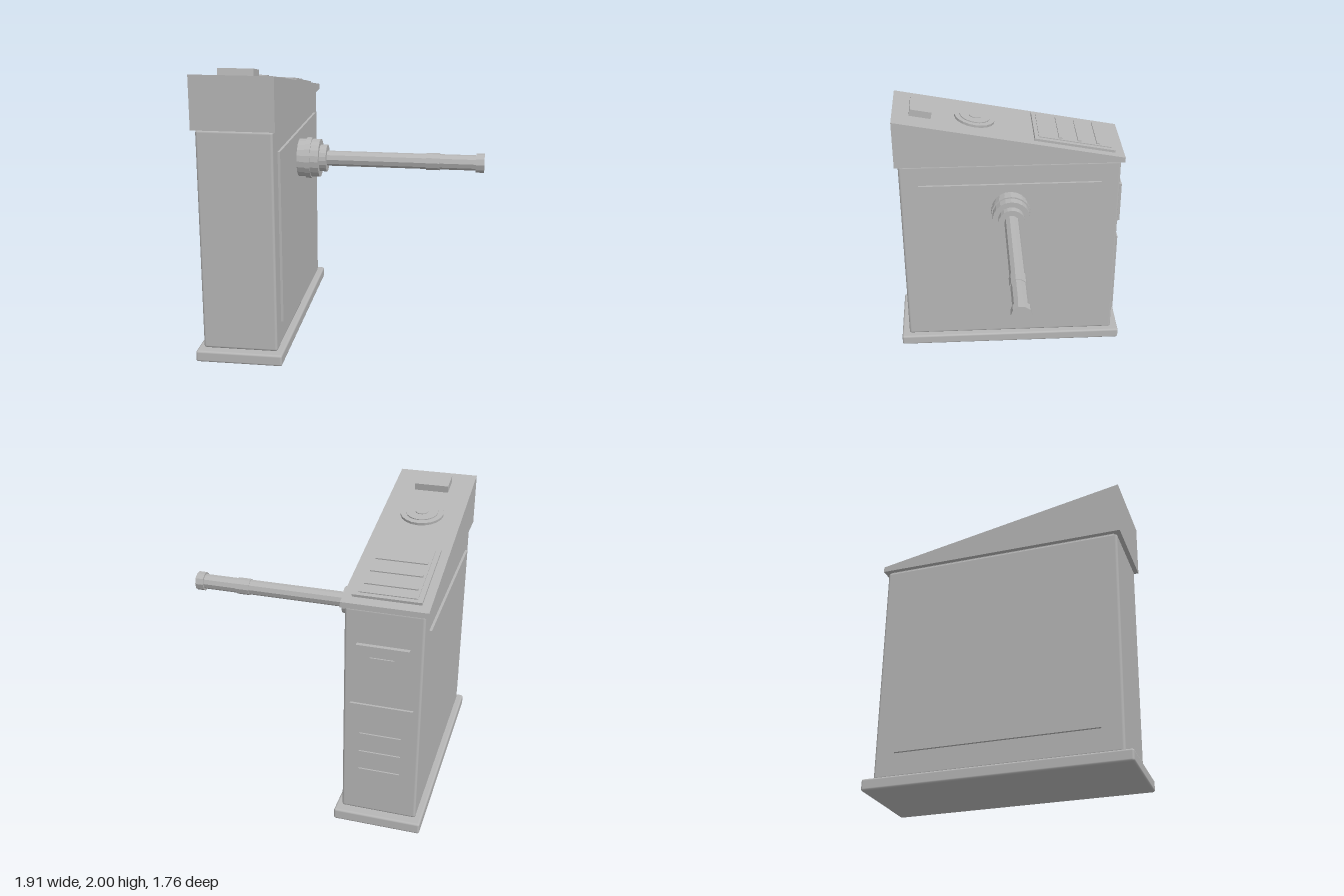
import * as THREE from 'three';
import { RoundedBoxGeometry } from 'three/addons/geometries/RoundedBoxGeometry.js';

export function createModel() {
  const model = new THREE.Group();
  model.name = 'turnstile';
  const steel = new THREE.MeshStandardMaterial({ color: 0xb6b6b6 });
  steel.name = 'steel grey';
  const CX = -0.655; // centre line of the cabinet

  function add(parent, name, geometry, x, y, z) {
    const mesh = new THREE.Mesh(geometry, steel);
    mesh.name = name;
    mesh.position.set(x, y, z);
    parent.add(mesh);
    return mesh;
  }
  const box = (w, h, d) => new THREE.BoxGeometry(w, h, d);
  // Cylinder with faceted sides
  function faceted(radius, height, sides) {
    const g = new THREE.CylinderGeometry(radius, radius, height, sides).toNonIndexed();
    g.computeVertexNormals();
    return g;
  }

  // Plinth and cabinet with softened edges
  add(model, 'base', new RoundedBoxGeometry(0.6, 0.08, 1.76, 2, 0.015), CX, 0.04, 0);
  add(model, 'cabinet', new RoundedBoxGeometry(0.515, 1.53, 1.64, 2, 0.018), CX, 0.845, 0);

  // Raised panel on each long side
  for (const side of [-1, 1]) {
    add(model, 'sidePanel', box(0.03, 1.205, 1.36), CX + side * 0.26, 0.8475, 0);
  }

  // Hood with a top that slopes down to the back
  const bottom = 1.613, high = 1.975, low = 1.65, half = 0.845;
  const profile = new THREE.Shape([
    new THREE.Vector2(-half, bottom), new THREE.Vector2(half, bottom),
    new THREE.Vector2(half, low), new THREE.Vector2(-half, high),
  ]);
  const hood = new THREE.ExtrudeGeometry(profile, { depth: 0.56, bevelEnabled: false });
  hood.translate(0, 0, -0.28).rotateY(Math.PI / 2);
  add(model, 'hood', hood, CX, 0, 0);
  add(model, 'hoodSeat', box(0.5, 0.02, 1.6), CX, 1.61, 0);

  // Fittings lying on the sloped top
  const slope = new THREE.Group();
  slope.name = 'topFittings';
  slope.position.set(CX, (high + low) / 2, 0);
  const angle = Math.atan((high - low) / (2 * half));
  slope.rotation.x = -angle;
  model.add(slope);
  const along = (z) => z / Math.cos(angle);
  // Each fitting is sunk slightly below the surface
  function plate(name, w, h, d, z) {
    add(slope, name, box(w, h + 0.01, d), 0, (h - 0.01) / 2, along(z));
  }
  plate('cardReader', 0.24, 0.05, 0.16, 0.645);
  for (const [r, h] of [[0.15, 0.018], [0.112, 0.025], [0.045, 0.03]]) {
    add(slope, 'roundSensor', faceted(r, h + 0.01, 20), 0, (h - 0.01) / 2, along(0.25));
  }
  plate('screenFrame', 0.445, 0.018, 0.605, -0.478);
  plate('screen', 0.38, 0.024, 0.545, -0.478);
  for (const z of [-0.37, -0.51, -0.65]) plate('screenBar', 0.345, 0.032, 0.025, z);

  // Plates on the back: a lock plate above a slatted vent
  add(model, 'lockPlate', box(0.345, 0.32, 0.04), CX, 1.21, -0.83);
  add(model, 'lock', box(0.16, 0.165, 0.03), CX, 1.212, -0.845);
  add(model, 'ventPlate', box(0.42, 0.685, 0.03), CX, 0.5875, -0.822);
  for (const y of [0.42, 0.56, 0.7]) {
    add(model, 'ventSlat', box(0.28, 0.028, 0.03), CX, y, -0.833);
  }

  // Stepped hub and barrier arm pointing to the model's left
  const arm = new THREE.Group();
  arm.name = 'barrierArm';
  arm.position.set(0, 1.25, 0);
  model.add(arm);
  const steps = [
    ['hubFlange', -0.4, -0.325, 0.138, 20],
    ['hubRing', -0.325, -0.285, 0.148, 20],
    ['hubBody', -0.285, -0.225, 0.138, 20],
    ['hubCollar', -0.225, -0.175, 0.097, 20],
    ['bar', -0.175, 0.9, 0.055, 10],
    ['barSleeve', 0.54, 0.64, 0.061, 10],
    ['barCap', 0.895, 0.955, 0.069, 10],
  ];
  for (const [name, x0, x1, r, sides] of steps) {
    add(arm, name, faceted(r, x1 - x0, sides), (x0 + x1) / 2, 0, 0).rotation.z = -Math.PI / 2;
  }

  return model;
}
